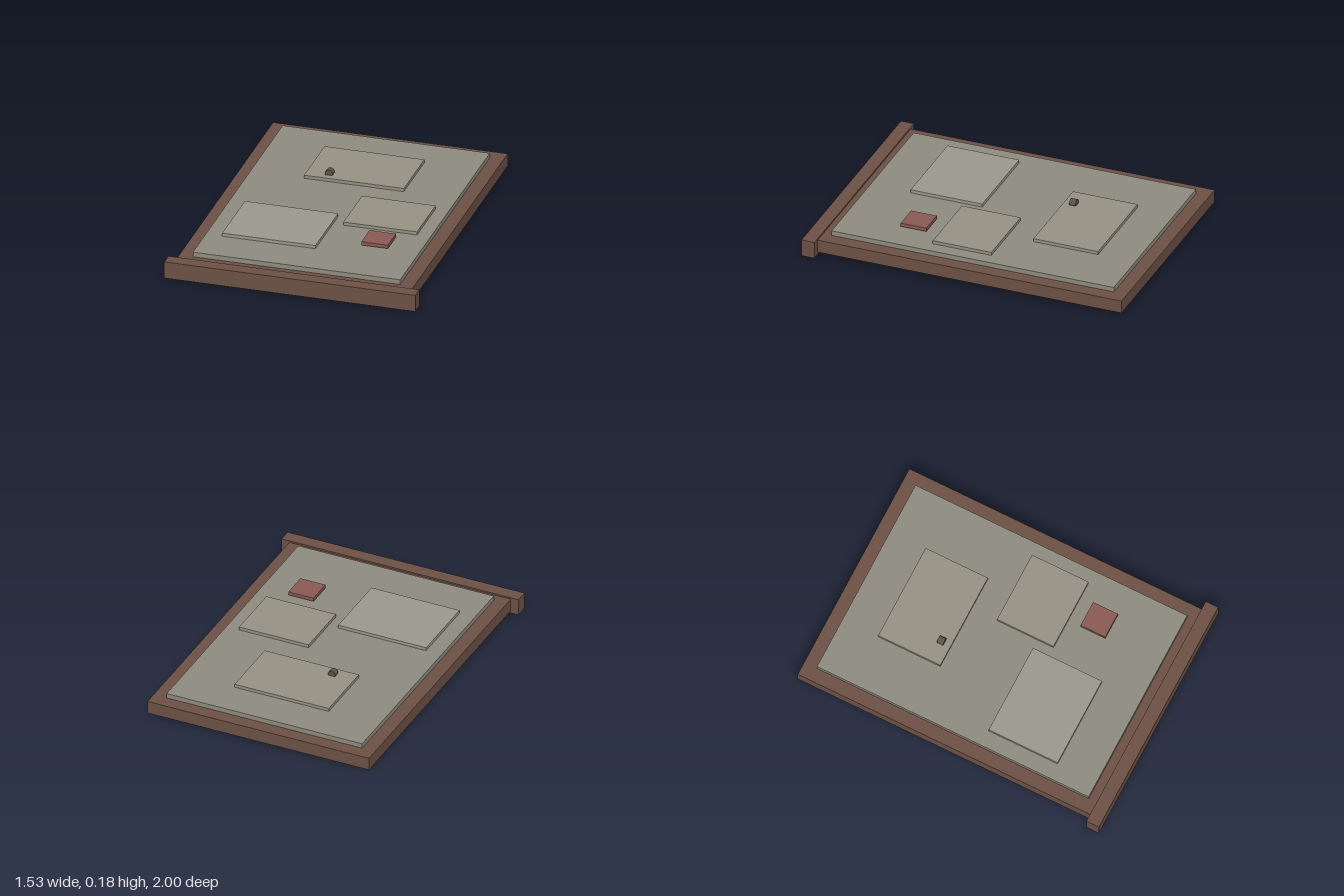
import * as THREE from 'three';

export function createModel() {
  const model = new THREE.Group();

  const add = (name, geometry, color, x, y, z) => {
    const mesh = new THREE.Mesh(geometry, new THREE.MeshStandardMaterial({ color, flatShading: true }));
    mesh.name = name;
    mesh.position.set(x, y, z);
    model.add(mesh);
    return mesh;
  };

  // Box given by its extents on each axis
  const slab = (name, color, [x0, x1], [y0, y1], [z0, z1]) =>
    add(name, new THREE.BoxGeometry(x1 - x0, y1 - y0, z1 - z0), color,
      (x0 + x1) / 2, (y0 + y1) / 2, (z0 + z1) / 2);

  // Wooden board with a wider ledge along the front
  slab('board', 0x6d5145, [-0.717, 0.717], [0.015, 0.095], [-1, 0.95]);
  slab('frontLedge', 0x6d5145, [-0.767, 0.767], [0, 0.105], [0.918, 1]);

  // Raised panel
  slab('panel', 0x8f8b80, [-0.633, 0.633], [0.094, 0.125], [-0.917, 0.865]);

  // Thin sheets lying on the panel
  const sheetHeight = [0.124, 0.145];
  slab('backSheet', 0x969285, [-0.305, 0.305], sheetHeight, [-0.683, -0.275]);
  slab('leftSheet', 0x969285, [0.1, 0.55], sheetHeight, [-0.11, 0.26]);
  slab('rightSheet', 0x9c998c, [-0.533, 0.037], sheetHeight, [0.158, 0.61]);

  // Small red block, held just above the panel
  slab('redBlock', 0x8a5a55, [0.285, 0.447], [0.135, 0.157], [0.343, 0.505]);

  // Small roller lying along z, partly sunk into the back sheet
  const roller = add('roller', new THREE.CylinderGeometry(0.024, 0.024, 0.04, 12), 0x5a554c,
    -0.167, 0.154, -0.337);
  roller.rotation.x = Math.PI / 2;

  return model;
}
